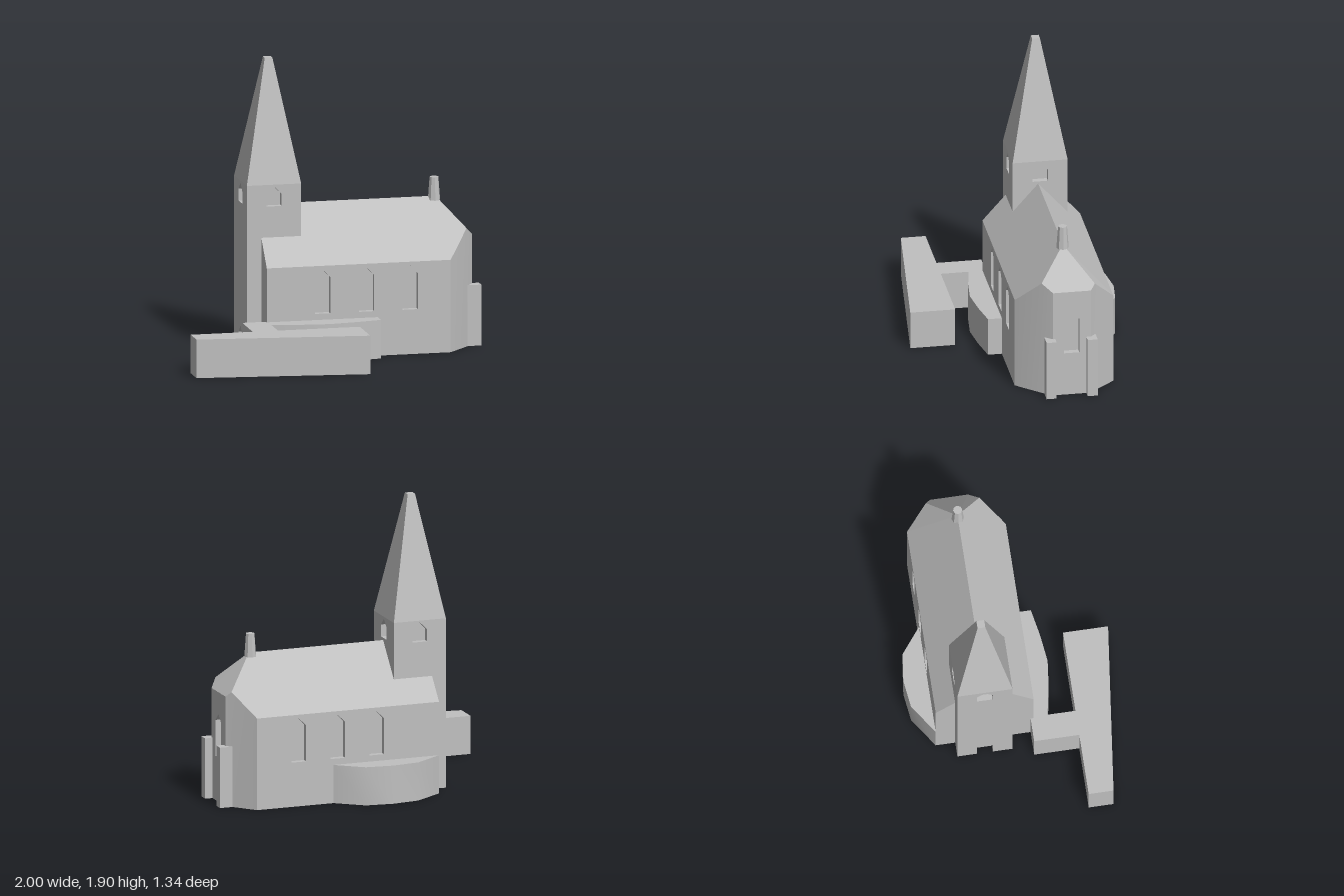
import * as THREE from 'three';
import { toCreasedNormals } from 'three/addons/utils/BufferGeometryUtils.js';

const stone = new THREE.MeshStandardMaterial({ color: 0xc0c0c0 });
stone.name = 'stone grey';
const RECESS = 0.04;

// Pointed opening outline, from bottom left over the peak to bottom right
const arch = (x, y0, y1, w = 0.1) => [
  [x - w / 2, y0], [x - w / 2, y1 - w / 2], [x, y1], [x + w / 2, y1 - w / 2], [x + w / 2, y0],
];
const toPoints = (list) => list.map(([x, y]) => new THREE.Vector2(x, y));

// Wall slab with its outer face on z = 0, pierced by openings; a doorway cuts the lower edge
function wallPanel(x0, x1, h, openings, doorway = []) {
  const shape = new THREE.Shape(toPoints([[x0, 0], ...doorway, [x1, 0], [x1, h], [x0, h]]));
  openings.forEach((o) => shape.holes.push(new THREE.Path(toPoints(o))));
  return new THREE.ExtrudeGeometry(shape, { depth: RECESS, bevelEnabled: false }).translate(0, 0, -RECESS);
}

// Slab rising from the ground with a plan of [x, z] points
function groundSlab(plan, h) {
  const shape = new THREE.Shape(toPoints(plan.map(([x, z]) => [x, -z])));
  const geo = new THREE.ExtrudeGeometry(shape, { depth: h, bevelEnabled: false }).rotateX(-Math.PI / 2);
  return toCreasedNormals(geo, 0.62);
}

const boxBetween = (x0, x1, y0, y1, z0, z1) =>
  new THREE.BoxGeometry(x1 - x0, y1 - y0, z1 - z0).translate((x0 + x1) / 2, (y0 + y1) / 2, (z0 + z1) / 2);

// Flat convex polygons, each a loop of [x, y, z] corners, turned into triangle fans
function polygons(loops) {
  const pos = [];
  for (const p of loops) {
    for (let i = 1; i < p.length - 1; i++) pos.push(...p[0], ...p[i], ...p[i + 1]);
  }
  const geo = new THREE.BufferGeometry();
  geo.setAttribute('position', new THREE.Float32BufferAttribute(pos, 3));
  geo.computeVertexNormals();
  return geo;
}

export function createModel() {
  const model = new THREE.Group();
  model.name = 'church';
  const add = (name, geo, parent = model) => {
    const mesh = new THREE.Mesh(geo, stone);
    mesh.name = name;
    parent.add(mesh);
    return mesh;
  };

  // Nave plan and roof height: a gable cut by a hip over the apse
  const ridgeZ = -0.205;
  const plan = [
    [-0.44, 0.11], [0.76, 0.11], [0.79, 0.08], [0.9, -0.04], [0.95, -0.105], [0.95, -0.35],
    [0.92, -0.38], [0.8, -0.52], [-0.44, -0.52], [-0.44, ridgeZ],
  ];
  const ridgeEnd = [0.735, ridgeZ];
  const roofY = ([x, z]) => Math.min(0.955 - 1.127 * Math.abs(z - ridgeZ), 0.955 - 1.1 * (x - 0.735));
  const top = (p) => [p[0], roofY(p), p[1]];
  const base = (p) => [p[0], 0, p[1]];

  // Plain walls: apse sides and the gable end
  const plain = [1, 2, 3, 5, 6, 8, 9].map((i) => {
    const a = plan[i], b = plan[(i + 1) % plan.length];
    return [base(a), base(b), top(b), top(a)];
  });
  add('plainWalls', toCreasedNormals(polygons(plain), 0.3));
  add('naveFloor', polygons([[...plan.slice(1), plan[0]].reverse().map(base)]));

  // Roof slopes and hip
  add('naveRoof', polygons([
    [...plan.slice(0, 4), ridgeEnd, plan[9]].map(top),
    [ridgeEnd, ...plan.slice(3, 7)].map(top),
    [ridgeEnd, ...plan.slice(6, 10)].map(top),
  ]));

  // Walls with recessed windows
  const windows = (xs) => xs.map((x) => arch(x, 0.29, 0.575));
  add('frontWall', wallPanel(-0.44, 0.76, 0.6, windows([-0.075, 0.212, 0.497]))).position.z = 0.11;
  const back = add('backWall', wallPanel(-0.8, 0.44, 0.6, windows([-0.515, -0.25, 0.015])));
  back.rotation.y = Math.PI;
  back.position.z = -0.52;
  const apse = add('apseWall', wallPanel(0.105, 0.35, 0.718, windows([0.225])));
  apse.rotation.y = Math.PI / 2;
  apse.position.x = 0.95;

  // Inner cores closing the backs of the windows
  add('naveCore', boxBetween(-0.42, 0.78, 0, 0.59, -0.52 + RECESS, 0.11 - RECESS));
  add('apseCore', boxBetween(0.7, 0.95 - RECESS, 0, 0.65, -0.33, -0.12));

  // Tower with belfry openings on all sides and a doorway on the end
  const tower = new THREE.Group();
  tower.name = 'tower';
  tower.position.set(-0.3575, 0, -0.2175);
  model.add(tower);
  const r = 0.1775, towerH = 1.11;
  for (let i = 0; i < 4; i++) {
    const doorway = i === 3 ? arch(0, 0, 0.17) : [];
    const side = add('towerWall', wallPanel(-r, r, towerH, [arch(0, 0.97, 1.098)], doorway), tower);
    side.rotation.y = (i * Math.PI) / 2;
    side.position.set(Math.sin(side.rotation.y) * r, 0, Math.cos(side.rotation.y) * r);
  }
  const c = r - RECESS;
  add('towerCore', boxBetween(-c, c, 0, towerH, -c, c), tower);
  const spire = new THREE.CylinderGeometry(0.025 * Math.SQRT2, r * Math.SQRT2, 0.795, 4)
    .rotateY(Math.PI / 4).translate(0, towerH + 0.3975, 0);
  add('spire', toCreasedNormals(spire, 0.3), tower);

  // Chimney at the ridge end
  const chimney = new THREE.CylinderGeometry(0.029, 0.04, 0.15, 8).translate(0.726, 1.005, ridgeZ);
  add('chimney', toCreasedNormals(chimney, 0.3));

  // Apse buttresses
  for (const z of [-0.385, -0.12]) add('buttress', boxBetween(0.9, 1, 0, 0.395, z, z + 0.065));

  // Low bowed annexes, linking passage and long boundary block
  const low = 0.25;
  add('backAnnex', groundSlab([
    [-0.44, -0.5], [-0.44, -0.52], [-0.25, -0.65], [-0.07, -0.673], [0.11, -0.652], [0.28, -0.52], [0.28, -0.5],
  ], low));
  add('frontAnnex', groundSlab([
    [-0.44, 0.09], [-0.44, 0.198], [-0.25, 0.235], [-0.07, 0.255], [0.11, 0.233], [0.285, 0.2], [0.285, 0.09],
  ], low));
  add('passage', boxBetween(-0.595, -0.43, 0, low, 0.09, 0.39));
  add('boundaryBlock', groundSlab([[-1, 0.38], [-1, 0.54], [0.105, 0.67], [0.105, 0.38]], low));

  return model;
}
